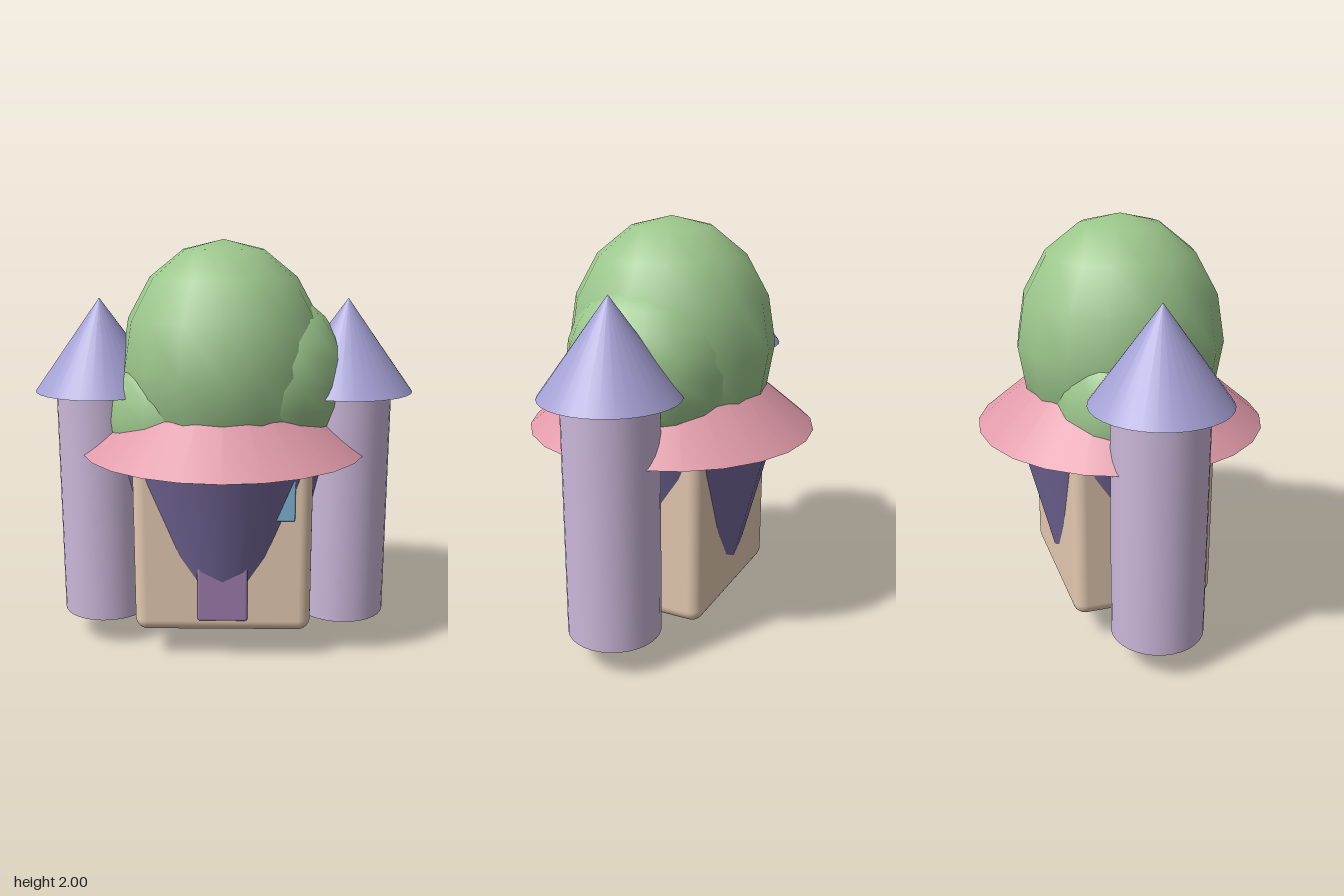
import * as THREE from 'three';
import { RoundedBoxGeometry } from 'three/addons/geometries/RoundedBoxGeometry.js';

const paint = (color, extra = {}) => new THREE.MeshStandardMaterial({ color, ...extra });

export function createModel() {
  const model = new THREE.Group();
  const leaf = paint(0x9cc68c);
  const plum = paint(0x75689a);
  const lilac = paint(0xcbb8da);
  const violet = paint(0xa3a0d4);

  function add(name, geometry, material, x, y, z, scale = [1, 1, 1]) {
    const mesh = new THREE.Mesh(geometry, material);
    mesh.name = name;
    mesh.position.set(x, y, z);
    mesh.scale.set(...scale);
    model.add(mesh);
    return mesh;
  }

  // Square body with soft edges
  add('body', new RoundedBoxGeometry(0.85, 0.85, 0.7, 4, 0.06), paint(0xe3c9b0), 0, 0.57, 0);

  // Tapered basket passing through the body walls
  add('basket', new THREE.CylinderGeometry(0.515, 0.305, 0.82, 24), plum, 0, 0.56, 0);

  // Gold band under the brim
  const band = add('band', new THREE.TorusGeometry(0.53, 0.036, 8, 32), paint(0xd6aa58), 0, 0.973, 0, [1, 1, 0.8]);
  band.rotation.x = Math.PI / 2;

  // Wide brim
  add('brim', new THREE.ConeGeometry(0.7, 0.59, 24), paint(0xe09aa9), 0, 1.29, 0);

  // Leafy crown: one large dome and two side lumps
  const ball = new THREE.SphereGeometry(1, 16, 8);
  add('crown', ball, leaf, 0, 1.4, 0, [0.5, 0.6, 0.5]);
  const lump = new THREE.SphereGeometry(1, 16, 12);
  add('leftLump', lump, leaf, 0.22, 1.34, 0, [0.38, 0.42, 0.405]);
  add('rightLump', lump, leaf, -0.21, 1.16, 0, [0.39, 0.42, 0.39]);

  // Side towers with pointed roofs
  const towerShape = new THREE.CylinderGeometry(0.22, 0.22, 1.135, 32);
  const roofShape = new THREE.ConeGeometry(0.32, 0.445, 32);
  for (const [side, s] of [['left', 1], ['right', -1]]) {
    add(side + 'Tower', towerShape, lilac, s * 0.6, 0.7125, 0);
    add(side + 'Roof', roofShape, violet, s * 0.6, 1.5025, 0);
  }

  // Door and window on the front wall
  add('door', new RoundedBoxGeometry(0.24, 0.38, 0.04, 2, 0.012), paint(0x9d7cac), 0, 0.405, 0.353);
  add('window', new RoundedBoxGeometry(0.18, 0.2, 0.03, 2, 0.008), paint(0x7db4d2), 0.25, 0.82, 0.357);

  // Underside: shallow boss, hanging crystal, three round feet
  add('boss', ball, paint(0xcdbf9f), 0, 0.15, 0, [0.16, 0.035, 0.16]);
  add('crystal', new THREE.OctahedronGeometry(0.128), paint(0x8478b0, { flatShading: true }), 0, 0.13, 0);
  const foot = new THREE.SphereGeometry(0.07, 16, 12);
  for (const [x, z] of [[0.25, 0.2], [-0.25, 0.2], [0, -0.26]]) add('foot', foot, plum, x, 0.177, z);

  return model;
}
